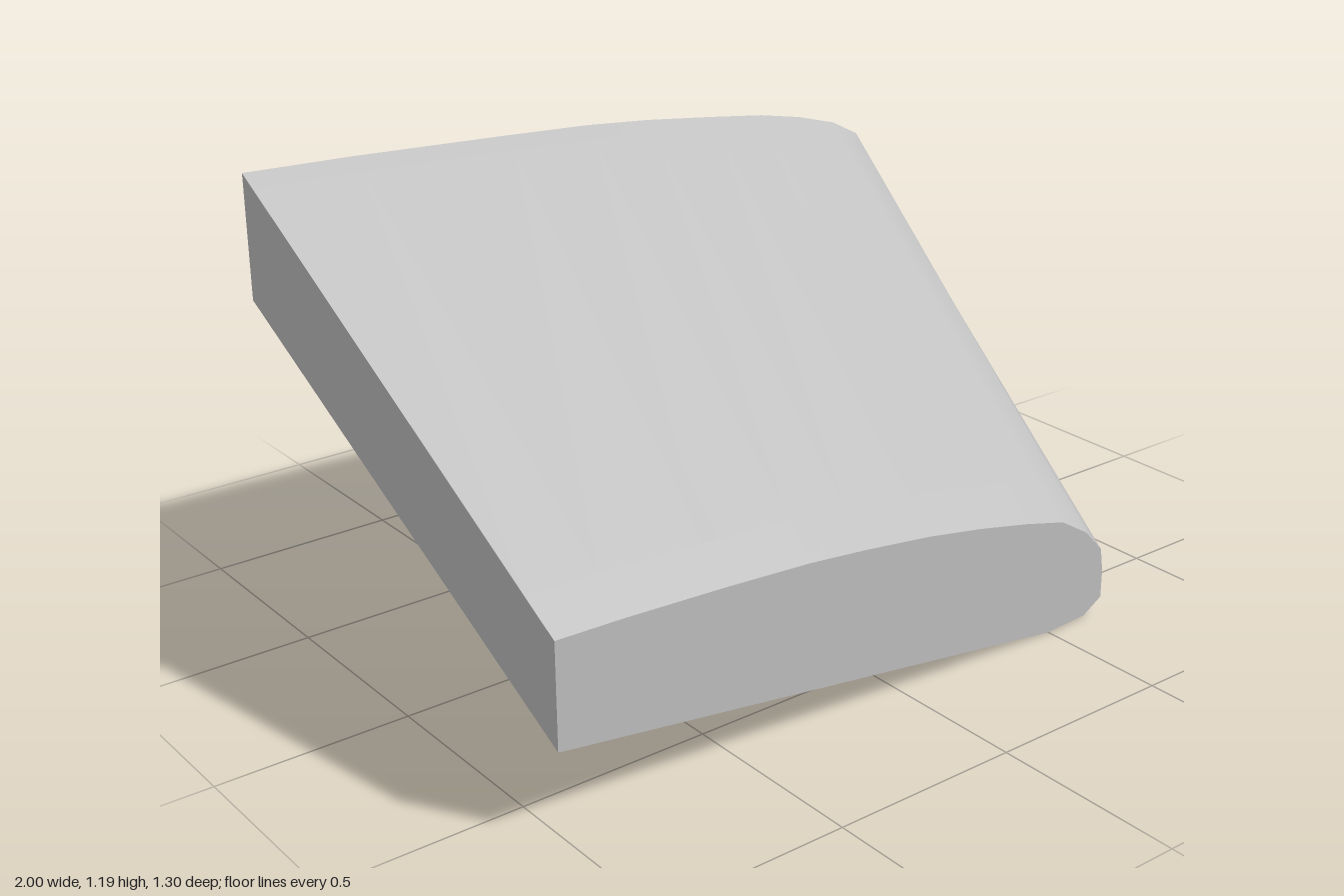
import * as THREE from 'three';
import { toCreasedNormals } from 'three/addons/utils/BufferGeometryUtils.js';

// Matching outlines of the two ends: root top, over the nose, back to root bottom
const frontEnd = [
  [-1, 0.48], [-0.82, 0.475], [-0.55, 0.462], [-0.3, 0.446], [-0.13, 0.428], [0.07, 0.402], [0.24, 0.372],
  [0.4, 0.338], [0.53, 0.305], [0.62, 0.25], [0.68, 0.185], [0.69, 0.12], [0.69, 0.045],
  [0.63, 0.01], [0.5, 0.003], [-1, 0.212],
];
const backEnd = [
  [-1, 1.195], [-0.7, 1.185], [-0.25, 1.163], [0, 1.149], [0.2, 1.131], [0.42, 1.104], [0.6, 1.08],
  [0.74, 1.052], [0.87, 1.015], [0.96, 0.968], [0.985, 0.915], [1, 0.88], [0.98, 0.74],
  [0.906, 0.69], [0.78, 0.702], [-1, 0.872],
];
const NOSE_CORNER = 12;
const HALF_DEPTH = 0.65;

// Cross-section at depth z, blended between the ends
function section(z, noseCorner) {
  const t = (HALF_DEPTH - z) / (2 * HALF_DEPTH);
  return frontEnd.map(([x, y], i) => {
    if (noseCorner && i === NOSE_CORNER) return [...noseCorner, z];
    const [bx, by] = backEnd[i];
    return [x + (bx - x) * t, y + (by - y) * t, z];
  });
}

function loft(sections) {
  const pos = [];
  const tri = (a, b, c) => pos.push(...a, ...b, ...c);
  const n = frontEnd.length;
  for (let s = 0; s < sections.length - 1; s++) {
    const A = sections[s], B = sections[s + 1];
    for (let i = 0; i < n; i++) {
      const j = (i + 1) % n;
      tri(A[i], A[j], B[j]);
      tri(A[i], B[j], B[i]);
    }
  }
  // Flat end caps
  const first = sections[0], last = sections[sections.length - 1];
  for (let i = 1; i < n - 1; i++) {
    tri(first[0], first[i + 1], first[i]);
    tri(last[0], last[i], last[i + 1]);
  }
  const geometry = new THREE.BufferGeometry();
  geometry.setAttribute('position', new THREE.Float32BufferAttribute(pos, 3));
  return toCreasedNormals(geometry, 0.8);
}

export function createModel() {
  const grey = new THREE.MeshStandardMaterial({ color: 0xc0c0c0 });
  grey.name = 'light grey';

  // Swept, sloping wing panel; its lower nose edge is trimmed near both ends
  const panel = new THREE.Mesh(loft([
    section(HALF_DEPTH),
    section(0.54, [0.71, 0.055]),
    section(-0.6, [0.965, 0.675]),
    section(-HALF_DEPTH),
  ]), grey);
  panel.name = 'wingPanel';

  const model = new THREE.Group();
  model.name = 'wingSection';
  model.add(panel);
  return model;
}
